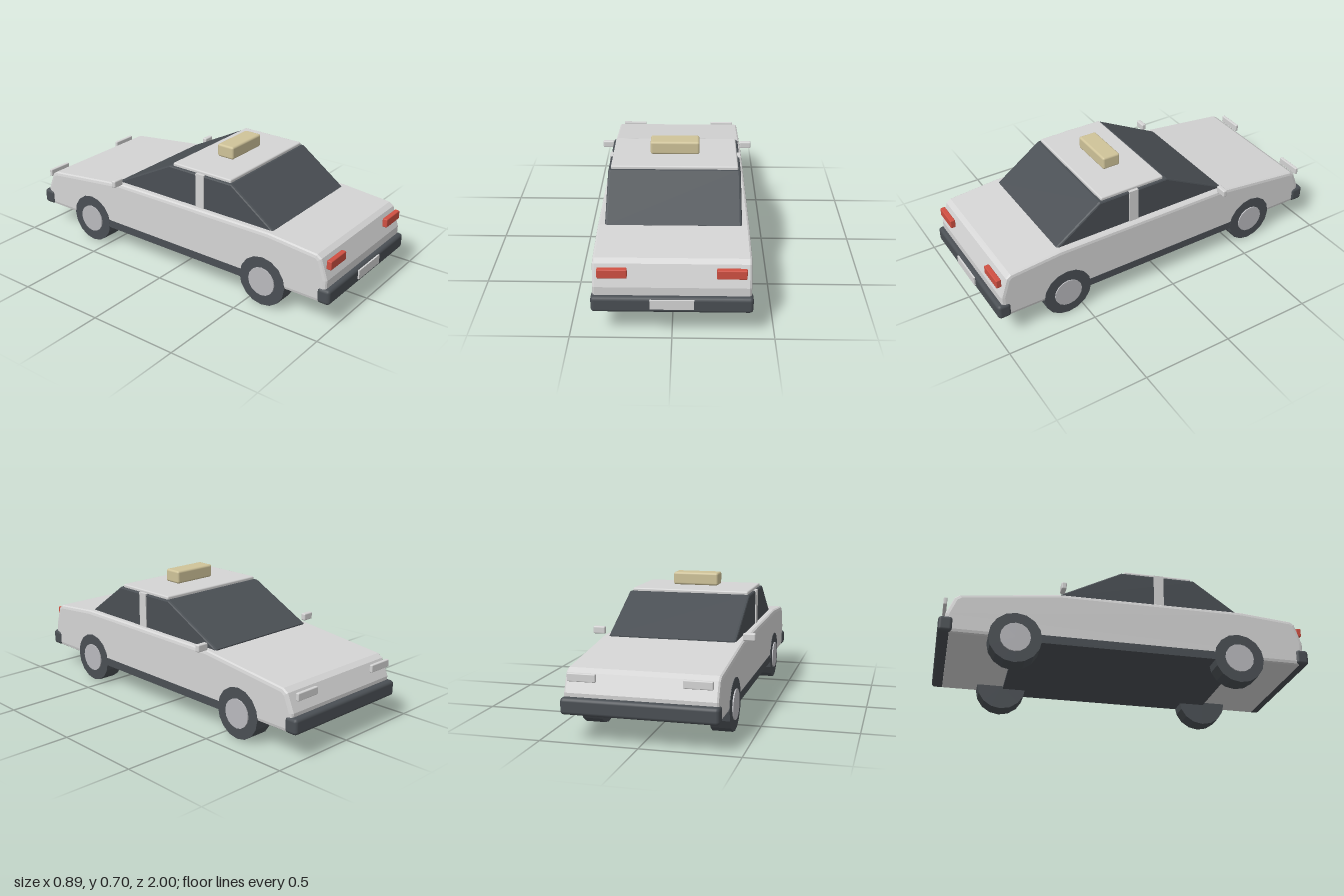
import * as THREE from 'three';
import { RoundedBoxGeometry } from 'three/addons/geometries/RoundedBoxGeometry.js';

const mat = (name, color) => {
  const m = new THREE.MeshStandardMaterial({ color });
  m.name = name;
  return m;
};

export function createModel() {
  const car = new THREE.Group();
  car.name = 'saloonCar';
  const paint = mat('light grey paint', 0xd4d4d4);
  const dark = mat('dark trim and glass', 0x4a4f54);
  const hubGrey = mat('hub grey', 0xb9b9bd);
  const red = mat('red lamp', 0xd05042);
  const tan = mat('tan sign', 0xcfc399);

  const add = (name, geometry, material, x = 0, y = 0, z = 0) => {
    const mesh = new THREE.Mesh(geometry, material);
    mesh.name = name;
    mesh.position.set(x, y, z);
    car.add(mesh);
    return mesh;
  };
  // Box given by its extents on each axis, softened when r > 0
  const block = (name, material, [x0, x1], [y0, y1], [z0, z1], r = 0) => {
    const s = [x1 - x0, y1 - y0, z1 - z0];
    const g = r ? new RoundedBoxGeometry(...s, 2, r) : new THREE.BoxGeometry(...s);
    return add(name, g, material, (x0 + x1) / 2, (y0 + y1) / 2, (z0 + z1) / 2);
  };
  // Side profile of [z, y] points swept across the car with bevelled edges
  const sweep = (name, material, points, halfWidth, bevel, inset) => {
    const shape = new THREE.Shape(points.map(([z, y]) => new THREE.Vector2(-z, y)));
    const g = new THREE.ExtrudeGeometry(shape, {
      depth: 2 * (halfWidth - bevel), bevelEnabled: true, bevelThickness: bevel,
      bevelSize: inset, bevelOffset: -inset, bevelSegments: 2,
    });
    g.translate(0, 0, bevel - halfWidth);
    g.rotateY(Math.PI / 2);
    return add(name, g, material);
  };

  // Lower body and glasshouse
  sweep('body', paint, [
    [0.94, 0.135], [0.965, 0.18], [0.967, 0.265], [0.93, 0.375], [0.905, 0.393],
    [0.62, 0.418], [-0.38, 0.413], [-0.9, 0.352], [-0.928, 0.333],
    [-0.967, 0.24], [-0.965, 0.18], [-0.94, 0.135],
  ], 0.384, 0.012, 0.02);
  sweep('windows', dark, [
    [0.625, 0.41], [0.625, 0.418], [0.365, 0.603], [-0.045, 0.603], [-0.41, 0.416], [-0.41, 0.41],
  ], 0.346, 0.012, 0.008);
  block('roof', paint, [-0.333, 0.333], [0.595, 0.62], [-0.028, 0.353], 0.008);
  block('roofSign', tan, [-0.131, 0.131], [0.627, 0.699], [0.114, 0.218], 0.012);
  block('underside', dark, [-0.383, 0.383], [0.12, 0.165], [-0.6, 0.6]);

  // Bumpers and number plate
  block('tailBumper', dark, [-0.392, 0.392], [0.137, 0.221], [0.92, 0.992], 0.018);
  block('noseBumper', dark, [-0.392, 0.392], [0.137, 0.221], [-1, -0.925], 0.018);
  block('numberPlate', paint, [-0.107, 0.107], [0.163, 0.213], [0.991, 1]);

  for (const side of [1, -1]) {
    const label = side > 0 ? 'left' : 'right';
    const span = (a, b) => (side > 0 ? [a, b] : [-b, -a]);
    block(label + 'Sill', dark, span(0.37, 0.3855), [0.12, 0.165], [-0.55, 0.55]);
    block(label + 'Pillar', paint, span(0.335, 0.351), [0.41, 0.606], [0.137, 0.191]);
    block(label + 'TailLamp', red, span(0.214, 0.358), [0.318, 0.366], [0.948, 0.976], 0.005);
    block(label + 'HeadLamp', paint, span(0.214, 0.358), [0.3, 0.341], [-0.981, -0.962], 0.005);
    block(label + 'Mirror', paint, span(0.377, 0.443), [0.416, 0.456], [-0.386, -0.359], 0.007);

    // Wheels: tyre with a flat hub disc just proud of it
    for (const [end, z] of [['Tail', 0.593], ['Nose', -0.608]]) {
      const tyre = new THREE.CylinderGeometry(0.138, 0.138, 0.104, 16).toNonIndexed();
      tyre.computeVertexNormals();
      add(label + end + 'Tyre', tyre, dark, side * 0.3345, 0.138, z).rotation.z = Math.PI / 2;
      const hub = new THREE.CylinderGeometry(0.079, 0.079, 0.02, 16);
      add(label + end + 'Hub', hub, hubGrey, side * 0.383, 0.138, z).rotation.z = Math.PI / 2;
    }
  }
  return car;
}
